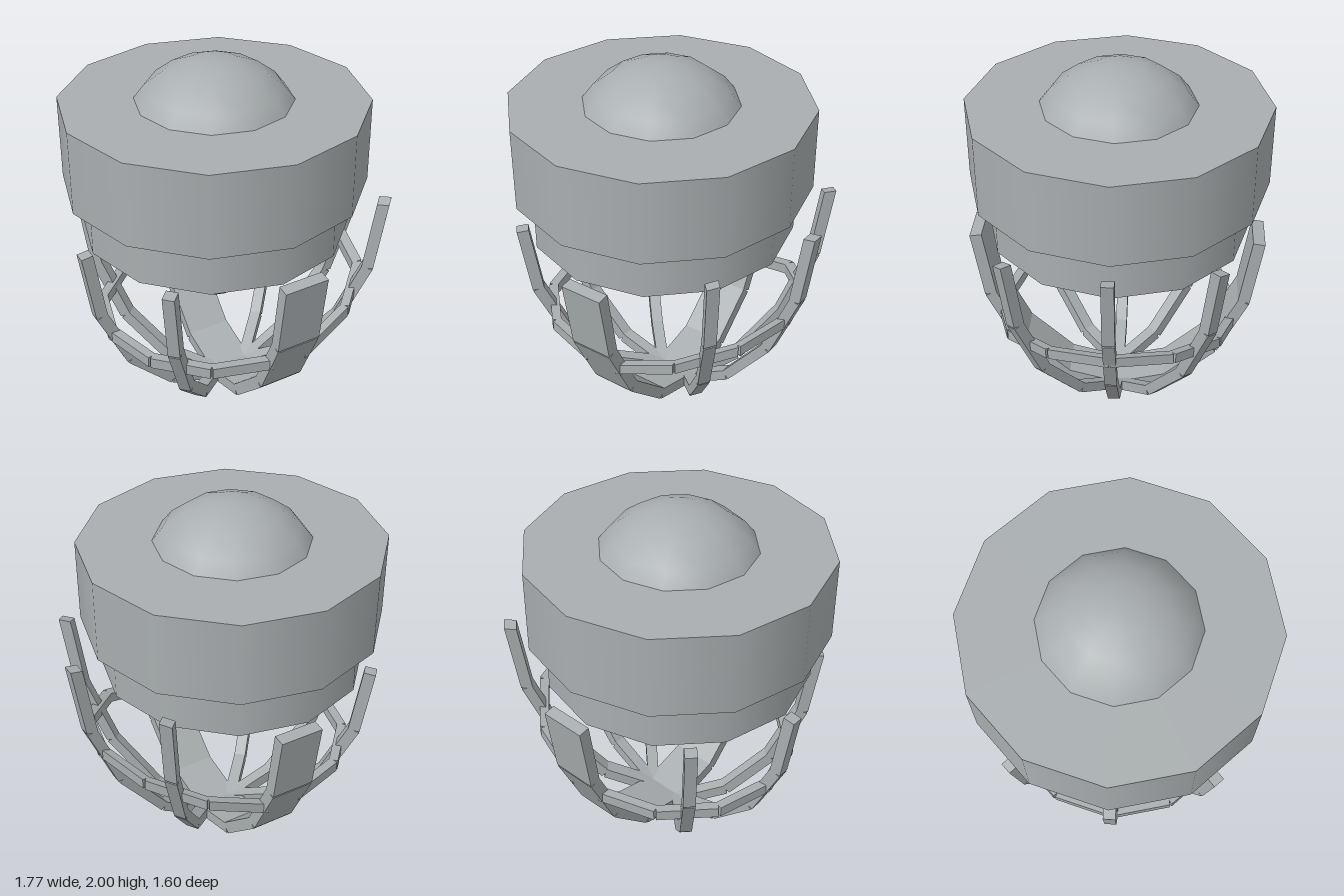
import * as THREE from 'three';

export function createModel() {
  const model = new THREE.Group();
  model.name = 'cagedLamp';
  const metal = new THREE.MeshStandardMaterial({ color: 0xa9aeb0 });
  metal.name = 'grey metal';
  const dark = new THREE.MeshStandardMaterial({ color: 0x37353e });
  dark.name = 'dark bulb';

  const add = (name, geometry, material, parent = model) => {
    const mesh = new THREE.Mesh(geometry, material);
    mesh.name = name;
    parent.add(mesh);
    return mesh;
  };

  // Housing: wide cap, narrower collar, shallow dome and hanging bulb
  const axis = -0.09;
  add('cap', new THREE.CylinderGeometry(0.8, 0.8, 0.45, 12).translate(axis, 1.555, 0), metal);
  add('collar', new THREE.CylinderGeometry(0.71, 0.71, 0.265, 12).translate(axis, 1.2, 0), metal);
  add('dome', new THREE.SphereGeometry(0.5, 12, 6, 0, Math.PI * 2, 0, Math.PI / 2)
    .translate(axis, 1.5, 0), metal);
  add('bulb', new THREE.SphereGeometry(0.22, 12, 6).scale(1, 1.27, 1).translate(axis, 0.89, 0), dark);

  // Cage: every rib follows this curve of radius and height
  const rib = [[0, 0.035], [0.285, 0.11], [0.535, 0.345], [0.695, 0.68], [0.755, 1.07]];
  const section = 0.065;

  // One straight piece of a rib, turned about the vertical axis
  const ribPiece = (i, width, angle) => {
    const [r0, y0] = rib[i], [r1, y1] = rib[i + 1];
    return new THREE.BoxGeometry(section, Math.hypot(r1 - r0, y1 - y0), width)
      .rotateZ(-Math.atan2(r1 - r0, y1 - y0))
      .translate((r0 + r1) / 2, (y0 + y1) / 2, 0)
      .rotateY(angle);
  };

  // Moves a piece to its side; the +x side is also sheared upwards
  const placeHalf = (geometry, side) => {
    if (side < 0) return geometry.rotateY(Math.PI).translate(-0.09, 0, 0);
    const shear = new THREE.Matrix4().set(1, 0, 0, 0.09, 0.34, 1, 0, 0, 0, 0, 1, 0, 0, 0, 0, 1);
    return geometry.applyMatrix4(shear);
  };

  for (const side of [-1, 1]) {
    const half = new THREE.Group();
    half.name = side > 0 ? 'leftCage' : 'rightCage';
    model.add(half);

    // Thin ribs
    for (const angle of [-Math.PI / 4, 0, Math.PI / 4])
      for (let i = 0; i < 4; i++)
        add('rib', placeHalf(ribPiece(i, section, angle), side), metal, half);

    // Horizontal hoop in six straight pieces
    const step = Math.PI / 6, radius = 0.63;
    for (let k = 0; k < 6; k++) {
      const piece = new THREE.BoxGeometry(0.05, 0.06, 2 * radius * Math.sin(step / 2))
        .translate(radius * Math.cos(step / 2), 0.53, 0)
        .rotateY((k - 2.5) * step);
      add('hoop', placeHalf(piece, side), metal, half);
    }
  }

  // Broad straps at the front and back, rising slightly towards +x
  const tilt = new THREE.Matrix4().set(1, 0, 0, 0.003, 0.04, 1, 0, 0, 0, 0, 1, 0, 0, 0, 0, 1);
  for (const angle of [-Math.PI / 2, Math.PI / 2])
    for (let i = 0; i < 4; i++)
      add(angle < 0 ? 'frontStrap' : 'backStrap',
        ribPiece(i, 0.245, angle).applyMatrix4(tilt), metal);

  return model;
}
